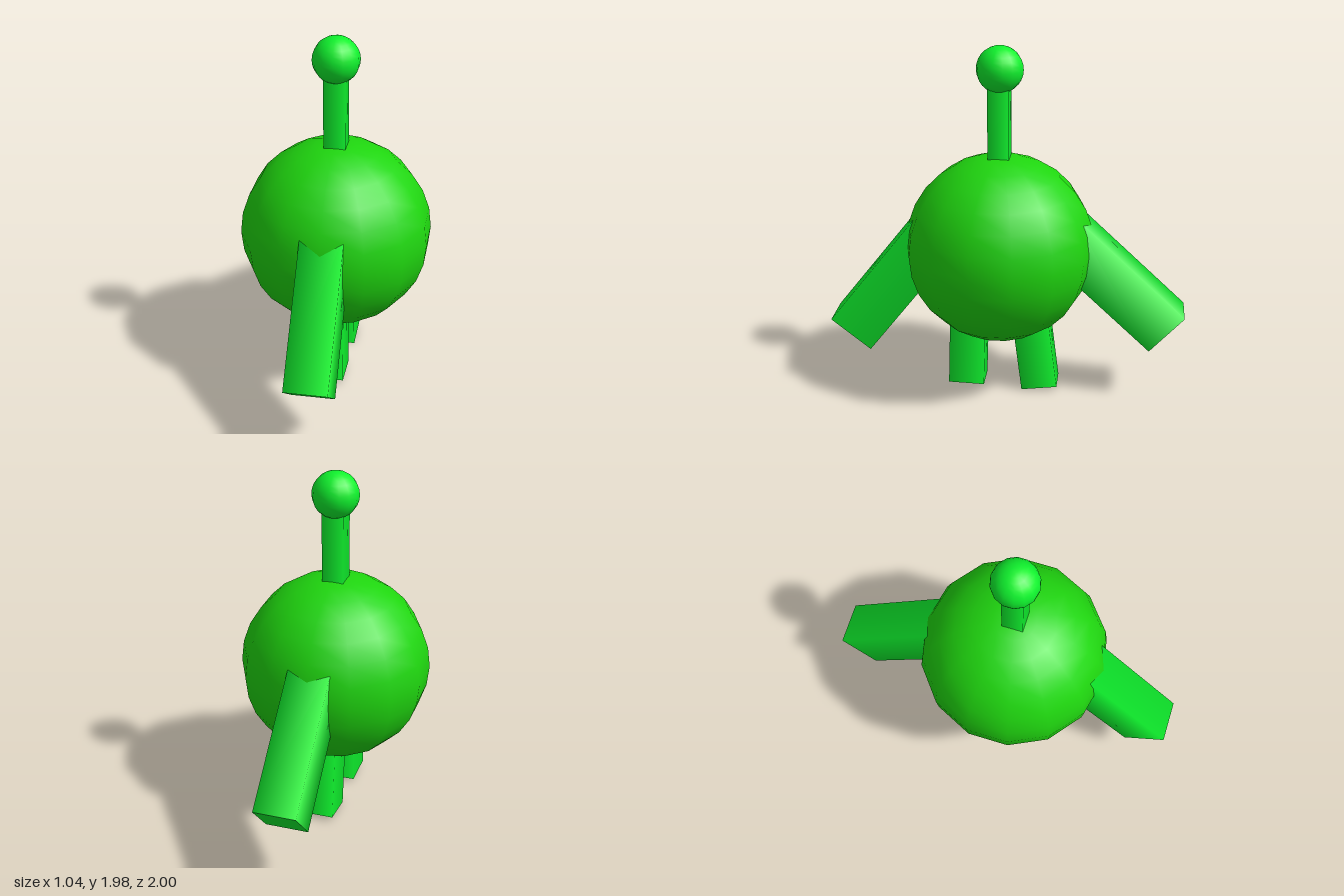
import * as THREE from 'three';

const bodyMat = new THREE.MeshStandardMaterial({ color: 0x1fd60f });
const limbMat = new THREE.MeshStandardMaterial({ color: 0x0ff22d });

const CENTER_Z = 0.04;

// Sphere with a vertex column facing front and back
function ball(name, radius, y, material) {
  const geometry = new THREE.SphereGeometry(radius, 14, 14).rotateY(Math.PI / 2);
  const mesh = new THREE.Mesh(geometry, material);
  mesh.name = name;
  mesh.position.set(0, y, CENTER_Z);
  return mesh;
}

// Four-sided, smooth-shaded bar whose outer end is centred on (0, y, z)
function limb(name, { end, dir, width, depth, length }) {
  const geometry = new THREE.CylinderGeometry(Math.SQRT1_2, Math.SQRT1_2, 1, 4, 1, false, Math.PI / 4);
  geometry.scale(width, length, depth).translate(0, length / 2, 0);
  const mesh = new THREE.Mesh(geometry, limbMat);
  mesh.name = name;
  // tilt so that the far end points back into the body
  mesh.rotation.x = Math.atan2(-dir[1], -dir[0]);
  mesh.position.set(0, end[0], end[1]);
  return mesh;
}

export function createModel() {
  const model = new THREE.Group();
  model.name = 'roundCreature';

  model.add(ball('body', 0.531, 0.85, bodyMat));
  model.add(ball('antennaBall', 0.129, 1.86, limbMat));

  // end and dir are given as [y, z]
  const limbs = {
    antenna: { end: [1.33, CENTER_Z + 0.003], dir: [-1, 0], width: 0.12, depth: 0.118, length: 0.47 },
    frontArm: { end: [0.32, 0.888], dir: [-0.785, 0.62], width: 0.236, depth: 0.284, length: 0.85 },
    backArm: { end: [0.398, -0.905], dir: [-0.68, -0.733], width: 0.236, depth: 0.28, length: 0.85 },
    frontLeg: { end: [0.028, 0.228], dir: [-1, 0.03], width: 0.172, depth: 0.203, length: 0.5 },
    backLeg: { end: [0.017, -0.192], dir: [-0.99, -0.125], width: 0.172, depth: 0.203, length: 0.5 },
  };
  for (const [name, spec] of Object.entries(limbs)) model.add(limb(name, spec));

  return model;
}
